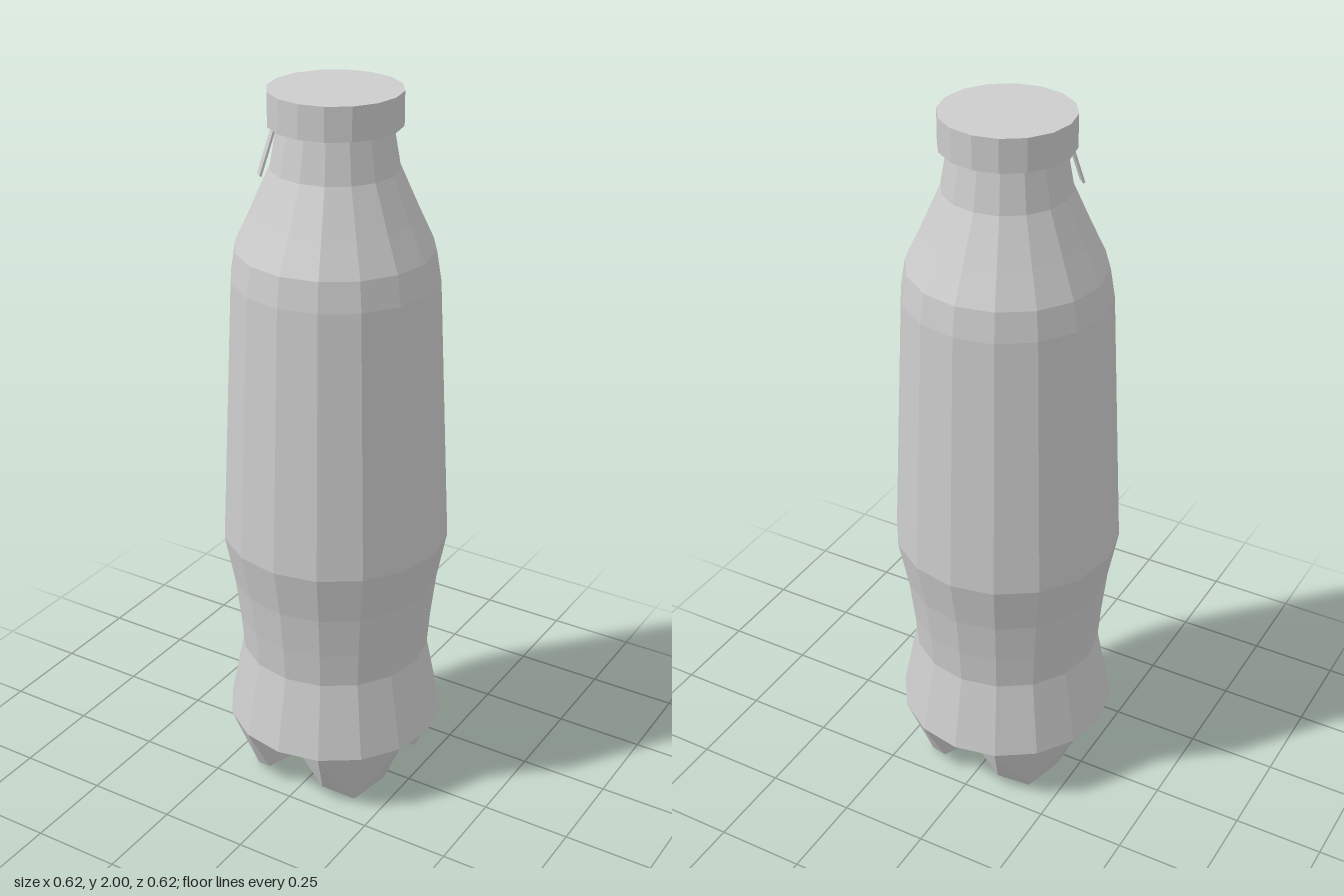
import * as THREE from 'three';

const SIDES = 16;

// Split the faces so that each one is shaded flat
function facet(geometry) {
  const g = geometry.index ? geometry.toNonIndexed() : geometry;
  g.computeVertexNormals();
  return g;
}

function lathe(profile) {
  return facet(new THREE.LatheGeometry(profile.map(([r, y]) => new THREE.Vector2(r, y)), SIDES));
}

// Four-footed base: a rim, a ring of feet and valleys, and a raised centre
function baseGeometry(rimRadius, rimY) {
  const at = (k, r, y) => {
    const a = (k / SIDES) * Math.PI * 2;
    return [r * Math.sin(a), y, r * Math.cos(a)];
  };
  const ring = [[0.2, 0.125], [0.235, 0.05], [0.23, 0], [0.235, 0.05]]; // valley, side, foot, side
  const up = (k) => at(k, rimRadius, rimY);
  const low = (k) => at(k, ...ring[k % 4]);
  const centre = [0, 0.12, 0];
  const v = [];
  for (let k = 0; k < SIDES; k++) {
    const a = low(k), b = low(k + 1), c = up(k + 1), d = up(k);
    // The diagonals mirror about each foot and valley
    if (k % 2 === 0) v.push(...a, ...b, ...c, ...a, ...c, ...d);
    else v.push(...a, ...b, ...d, ...b, ...c, ...d);
    v.push(...centre, ...b, ...a);
  }
  const g = new THREE.BufferGeometry();
  g.setAttribute('position', new THREE.Float32BufferAttribute(v, 3));
  return facet(g);
}

export function createModel() {
  const model = new THREE.Group();
  model.name = 'bottle';
  const grey = new THREE.MeshStandardMaterial({ color: 0xcccccc });
  grey.name = 'light grey';

  const add = (name, geometry) => {
    const mesh = new THREE.Mesh(geometry, grey);
    mesh.name = name;
    model.add(mesh);
    return mesh;
  };

  // Waisted body, shoulder and neck
  add('body', lathe([
    [0.305, 0.19], [0.262, 0.41], [0.27, 0.51], [0.284, 0.63], [0.311, 0.77],
    [0.275, 1.51], [0.262, 1.59], [0.22, 1.68], [0.167, 1.8], [0.147, 1.915],
  ]));
  add('base', baseGeometry(0.305, 0.19));

  // Closed screw cap
  add('cap', lathe([[0, 1.912], [0.173, 1.912], [0.173, 2], [0, 2]]));

  // Small torn seal tab hanging out below the cap
  const tab = add('sealTab', facet(new THREE.BoxGeometry(0.03, 0.126, 0.006)));
  tab.rotation.set(-0.31, -Math.PI / 4, 0, 'YXZ');
  tab.position.set(-0.124, 1.852, 0.124);
  return model;
}
